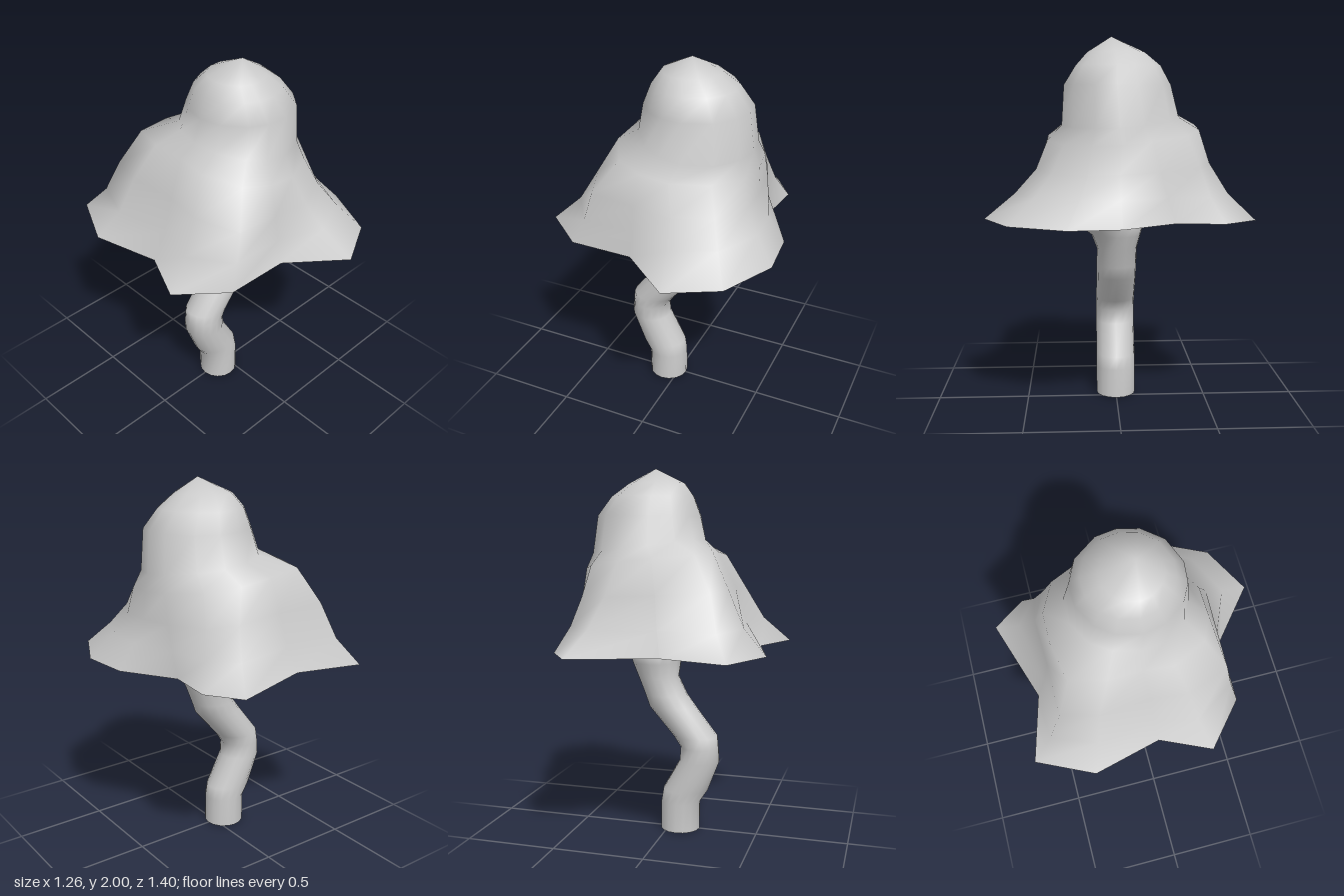
import * as THREE from 'three';
import { mergeVertices } from 'three/addons/utils/BufferGeometryUtils.js';

// Cap outlines as [x, z]: wavy rim, swelling middle, shoulder ledge
const RIM = [
  [-0.46, -0.655], [-0.11, -0.56], [0.335, -0.705], [0.457, -0.53], [0.43, -0.28],
  [0.603, -0.005], [0.627, 0.265], [0.485, 0.56], [0.22, 0.7], [-0.06, 0.47],
  [-0.4, 0.463], [-0.63, 0.265], [-0.51, 0], [-0.6, -0.36],
];
const MIDDLE = [
  [-0.34, -0.47], [-0.06, -0.47], [0.2, -0.48], [0.35, -0.41], [0.43, -0.2],
  [0.45, 0], [0.45, 0.16], [0.35, 0.34], [0.15, 0.43], [-0.06, 0.42],
  [-0.3, 0.41], [-0.39, 0.18], [-0.37, -0.01], [-0.39, -0.28],
];
const SHOULDER = [
  [-0.24, -0.39], [-0.03, -0.43], [0.15, -0.43], [0.32, -0.35], [0.42, -0.16],
  [0.445, -0.01], [0.42, 0.14], [0.3, 0.28], [0.11, 0.37], [-0.05, 0.37],
  [-0.19, 0.31], [-0.29, 0.13], [-0.28, -0.03], [-0.29, -0.21],
];
const RIM_Y = 1.06;

// Skin a list of closed rings (each an array of [x, y, z])
function loft(rings) {
  const n = rings[0].length;
  const index = [];
  for (let i = 0; i < rings.length - 1; i++) {
    for (let j = 0; j < n; j++) {
      const k = (j + 1) % n;
      const a = i * n + j, b = i * n + k, c = b + n, d = a + n;
      index.push(a, d, b, b, d, c);
    }
  }
  const raw = new THREE.BufferGeometry();
  raw.setAttribute('position', new THREE.Float32BufferAttribute(rings.flat(2), 3));
  raw.setIndex(index);
  const geometry = mergeVertices(raw);
  geometry.computeVertexNormals();
  return geometry;
}

// Ring from an outline, dipping to the left and front by tilt
function outlineRing(points, y, tilt = 0) {
  return points.map(([x, z]) => {
    const t = Math.atan2(z, x);
    return [x, y - tilt * (Math.cos(t) + 0.6 * Math.sin(t)), z];
  });
}

// Circle whose points follow the directions of the shoulder outline
function domeRing([y, cx, cz, r, tilt]) {
  const circle = SHOULDER.map(([x, z]) => {
    const t = Math.atan2(z + 0.03, x - 0.07);
    return [cx + r * Math.cos(t), cz + r * Math.sin(t)];
  });
  return outlineRing(circle, y, tilt);
}

// Horizontal elliptical ring of the stem
function stemRing([y, cx, cz, rx, rz], n = 16) {
  return Array.from({ length: n }, (_, j) => {
    const t = (j / n) * Math.PI * 2;
    return [cx + rx * Math.cos(t), y, cz + rz * Math.sin(t)];
  });
}

function part(name, geometry, flatShading = false) {
  const material = new THREE.MeshStandardMaterial({ color: 0xcccccc, flatShading });
  const mesh = new THREE.Mesh(geometry, material);
  mesh.name = name;
  return mesh;
}

export function createModel() {
  const group = new THREE.Group();
  group.name = 'mushroom';

  // Cap: wavy skirt, slanted shoulder ledge and round dome
  const skirt = MIDDLE.map(([x, z], i) => [
    x + (RIM[i][0] - x) * 0.41,
    z + (RIM[i][1] - z) * 0.41,
  ]);
  const dome = [
    [1.58, 0.105, -0.015, 0.31, 0.04],
    [1.75, 0.11, 0, 0.282, 0],
    [1.85, 0.09, -0.005, 0.225, 0],
    [1.92, 0.07, 0.005, 0.153, 0],
    [2, 0.085, 0.03, 0, 0],
  ].map(domeRing);
  group.add(part('cap', loft([
    outlineRing(RIM, RIM_Y),
    outlineRing(skirt, 1.19),
    outlineRing(MIDDLE, 1.34, 0.03),
    outlineRing(SHOULDER, 1.505, 0.05),
    ...dome,
  ])));

  // Hollow underside: ceiling, inner wall and flat rim edge
  const scaled = (y, s, cx = 0) => RIM.map(([x, z]) => [x * s + cx, y, z * s]);
  const underside = [
    scaled(1.41, 0, 0.05),
    scaled(1.41, 0.46, 0.05),
    scaled(RIM_Y, 0.83),
    scaled(RIM_Y, 1),
  ];
  group.add(part('capUnderside', loft(underside), true));

  // Crooked stem, flaring like a trumpet inside the cap
  const stem = [
    [0, -0.065, 0, 0.11, 0.11],
    [0.16, -0.067, 0, 0.11, 0.11],
    [0.23, -0.095, 0, 0.128, 0.11],
    [0.4, -0.175, 0, 0.112, 0.11],
    [0.48, -0.175, 0, 0.106, 0.11],
    [0.54, -0.152, 0, 0.124, 0.11],
    [0.7, -0.02, 0, 0.132, 0.11],
    [0.77, 0.018, 0, 0.118, 0.11],
    [0.87, 0.062, 0, 0.114, 0.109],
    [0.95, 0.073, 0.005, 0.136, 0.135],
    [1.01, 0.085, 0.04, 0.153, 0.183],
    [1.06, 0.085, 0.1, 0.175, 0.205],
    [1.15, 0.12, 0.11, 0.24, 0.24],
    [1.18, 0.12, 0.11, 0, 0],
  ].map((r) => stemRing(r));
  group.add(part('stem', loft(stem)));

  // Flat foot of the stem
  const foot = [stemRing([0, -0.065, 0, 0, 0]), stem[0]];
  group.add(part('stemFoot', loft(foot), true));

  return group;
}
